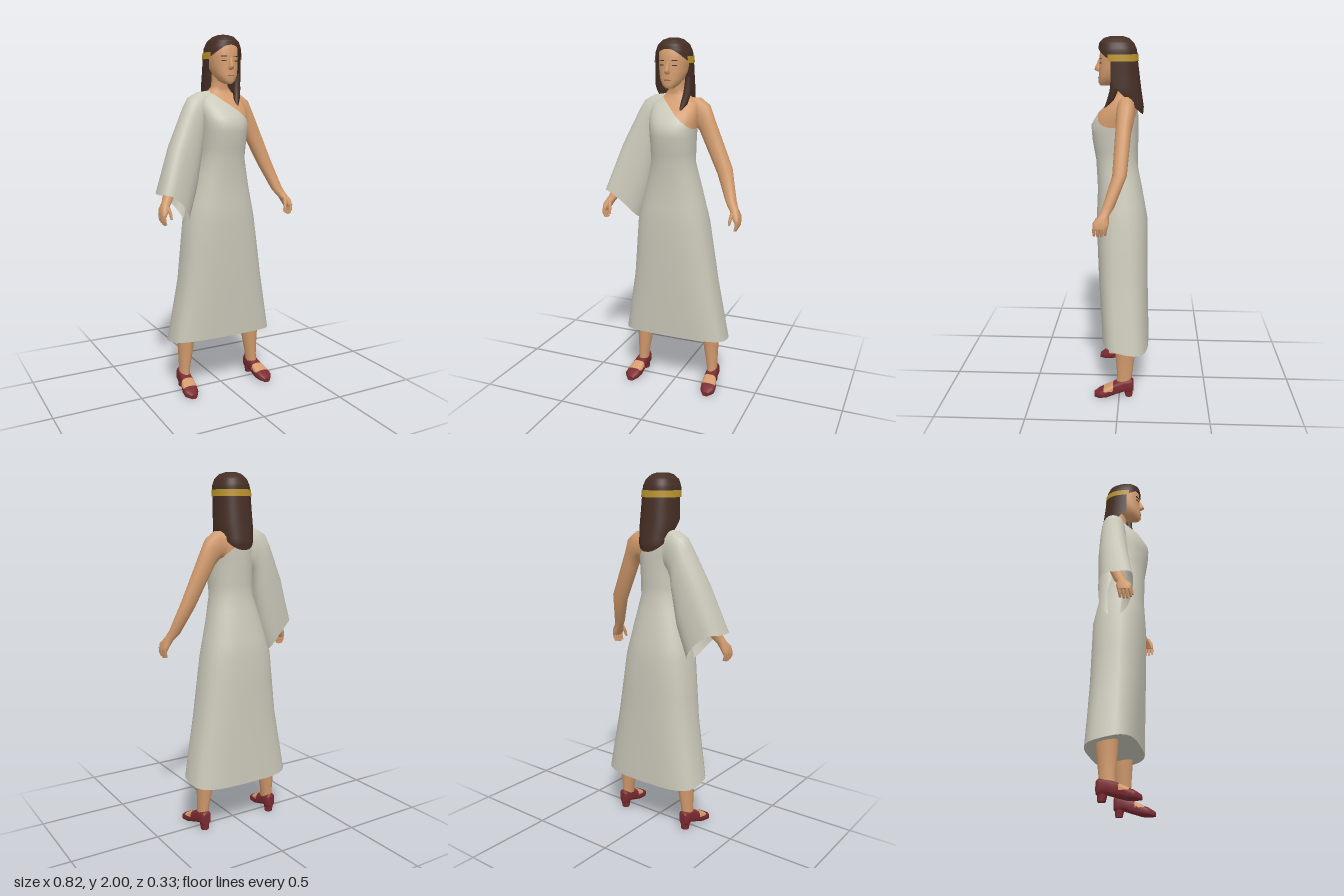
import * as THREE from 'three';

const V = (x, y, z) => new THREE.Vector3(x, y, z);
const mat = (name, color) => {
  const m = new THREE.MeshStandardMaterial({ color, side: THREE.DoubleSide });
  m.name = name;
  return m;
};

// Horizontal ring between x limits and z limits; e < 1 is boxier, tilt raises the front
const flat = (y, xl, xr, zb, zf, e = 0.85, tilt = 0) => ({
  c: V((xl + xr) / 2, y, (zb + zf) / 2), u: V((xr - xl) / 2, 0, 0),
  v: V(0, tilt, (zf - zb) / 2), e, bow: 0,
});
const level = (y, w, zb, zf, e) => flat(y, -w, w, zb, zf, e);
// Limb ring between an outer and an inner point, d deep in z
const limb = (t, b, d, e = 0.9, bow = 0) => {
  const T = V(...t), B = V(...b);
  return { c: T.clone().add(B).multiplyScalar(0.5), u: T.clone().sub(B).multiplyScalar(0.5), v: V(0, 0, d), e, bow };
};
// Upright ring across the foot
const footRing = (z, x, w, y0, y1, e = 0.65) => ({
  c: V(x, (y0 + y1) / 2, z), u: V(w, 0, 0), v: V(0, (y1 - y0) / 2, 0), e, bow: 0,
});

// Skin a row of rings, with optional end caps
function loft(rings, n = 20, capA = true, capB = true) {
  const pos = [], idx = [];
  const pw = (a, e) => Math.sign(a) * Math.abs(a) ** e;
  const addRing = (r) => {
    for (let i = 0; i < n; i++) {
      const t = (i / n) * Math.PI * 2, s = Math.sin(t);
      const p = r.c.clone().addScaledVector(r.u, pw(s, r.e)).addScaledVector(r.v, pw(Math.cos(t), r.e));
      pos.push(p.x, p.y + r.bow * (1 - s * s), p.z);
    }
  };
  rings.forEach(addRing);
  for (let k = 0; k < rings.length - 1; k++) for (let i = 0; i < n; i++) {
    const a = k * n + i, b = k * n + (i + 1) % n;
    idx.push(a, b, a + n, b, b + n, a + n);
  }
  const cap = (r, last) => {
    const s = pos.length / 3;
    addRing(r);
    pos.push(r.c.x, r.c.y, r.c.z);
    for (let i = 0; i < n; i++) {
      const a = s + i, b = s + (i + 1) % n;
      if (last) idx.push(a, b, s + n); else idx.push(b, a, s + n);
    }
  };
  if (capA) cap(rings[0], false);
  if (capB) cap(rings[rings.length - 1], true);
  // Turn the faces outwards
  let vol = 0;
  const P = (i) => V(pos[3 * i], pos[3 * i + 1], pos[3 * i + 2]).sub(rings[0].c);
  for (let i = 0; i < idx.length; i += 3) vol += P(idx[i]).dot(P(idx[i + 1]).cross(P(idx[i + 2])));
  if (vol < 0) idx.reverse();
  const g = new THREE.BufferGeometry();
  g.setAttribute('position', new THREE.Float32BufferAttribute(pos, 3));
  g.setIndex(idx);
  g.computeVertexNormals();
  return g;
}

// Keep the part of a geometry where sign * f(p) > 0
function clip(geo, f, sign = 1) {
  const g = geo.toNonIndexed(), p = g.attributes.position, q = g.attributes.normal;
  const pos = [], nor = [];
  for (let i = 0; i < p.count; i += 3) {
    const tri = [0, 1, 2].map((k) => {
      const a = V().fromBufferAttribute(p, i + k);
      return { a, n: V().fromBufferAttribute(q, i + k), d: sign * f(a) };
    });
    const poly = [];
    tri.forEach((A, k) => {
      const B = tri[(k + 1) % 3];
      if (A.d > 0) poly.push(A);
      if ((A.d > 0) !== (B.d > 0)) {
        const t = A.d / (A.d - B.d);
        poly.push({ a: A.a.clone().lerp(B.a, t), n: A.n.clone().lerp(B.n, t).normalize() });
      }
    });
    for (let k = 1; k + 1 < poly.length; k++) for (const w of [poly[0], poly[k], poly[k + 1]]) {
      pos.push(...w.a.toArray());
      nor.push(...w.n.toArray());
    }
  }
  const out = new THREE.BufferGeometry();
  out.setAttribute('position', new THREE.Float32BufferAttribute(pos, 3));
  out.setAttribute('normal', new THREE.Float32BufferAttribute(nor, 3));
  return out;
}

// Insert in-between rings so that clipped edges stay clean
function refine(rings, k) {
  const out = [];
  rings.forEach((r, i) => {
    const s = rings[i + 1];
    for (let j = 0; j < (s ? k : 1); j++) {
      const t = j / k, o = s || r;
      out.push({ c: r.c.clone().lerp(o.c, t), u: r.u.clone().lerp(o.u, t), v: r.v.clone().lerp(o.v, t),
        e: r.e + (o.e - r.e) * t, bow: 0 });
    }
  });
  return out;
}

export function createModel() {
  const root = new THREE.Group();
  root.name = 'woman';
  const cloth = mat('cloth', 0xcac8b9), skin = mat('skin', 0xd29b6d), hairMat = mat('hair', 0x452e25);
  const red = mat('shoe red', 0x7a2a30), gold = mat('gold', 0xb8922c), lip = mat('lips', 0xa0654a);
  const add = (name, geo, m, parent = root) => {
    const mesh = new THREE.Mesh(geo, m);
    mesh.name = name;
    parent.add(mesh);
    return mesh;
  };

  // Body, divided along the slanted neckline into dress and bare skin
  const body = loft(refine([
    flat(0.295, -0.31, 0.31, -0.165, 0.105, 0.62, 0.025),
    flat(0.65, -0.25, 0.247, -0.155, 0.125, 0.72, 0.01),
    flat(1.0, -0.218, 0.195, -0.15, 0.138, 0.8),
    flat(1.18, -0.17, 0.155, -0.118, 0.13, 0.85),
    flat(1.34, -0.125, 0.12, -0.086, 0.138, 0.9),
    level(1.45, 0.125, -0.088, 0.157, 0.9),
    level(1.53, 0.13, -0.09, 0.163, 0.9),
    level(1.6, 0.136, -0.09, 0.122, 0.85),
    level(1.66, 0.13, -0.085, 0.06, 0.85),
    level(1.70, 0.07, -0.07, 0.03, 0.9),
    level(1.73, 0.046, -0.06, 0.03, 1),
    level(1.80, 0.045, -0.05, 0.035, 1),
  ], 2), 28);
  const neckline = (p) => Math.min(1.7, 1.638 - 0.84 * p.x) - p.y;
  add('dress', clip(body, neckline), cloth);
  add('neck and shoulder', clip(body, neckline, -1), skin);

  // Wide draped sleeve on the right arm
  add('sleeve', loft([
    limb([-0.04, 1.71, -0.02], [-0.05, 1.5, -0.02], 0.05),
    limb([-0.13, 1.7, -0.02], [-0.09, 1.48, -0.02], 0.066),
    limb([-0.185, 1.67, -0.02], [-0.11, 1.43, -0.02], 0.072),
    limb([-0.215, 1.62, -0.015], [-0.12, 1.35, -0.02], 0.076),
    limb([-0.31, 1.42, 0.01], [-0.15, 1.18, -0.015], 0.086, 0.85, 0.02),
    limb([-0.4, 1.16, 0.05], [-0.212, 1.0, 0.0], 0.095, 0.75, 0.045),
  ], 24, true, false), cloth);

  // Arms and hands; the right one starts under the sleeve
  const armRings = [
    limb([0.06, 1.69, -0.03], [0.06, 1.54, -0.03], 0.045),
    limb([0.13, 1.69, -0.03], [0.11, 1.54, -0.03], 0.05),
    limb([0.185, 1.65, -0.03], [0.135, 1.51, -0.025], 0.048),
    limb([0.215, 1.58, -0.022], [0.155, 1.47, -0.02], 0.042),
    limb([0.325, 1.32, -0.01], [0.248, 1.285, 0], 0.038),
    limb([0.37, 1.16, 0.05], [0.315, 1.14, 0.05], 0.031),
    limb([0.388, 1.12, 0.07], [0.345, 1.1, 0.072], 0.026),
    limb([0.406, 1.085, 0.085], [0.364, 1.075, 0.085], 0.042, 0.75),
    limb([0.408, 1.05, 0.09], [0.382, 1.045, 0.09], 0.038, 0.7),
  ];
  for (const [side, s, from] of [['left', 1, 0], ['right', -1, 4]]) {
    const limbs = new THREE.Group();
    limbs.name = side + ' limbs';
    limbs.scale.x = s;
    root.add(limbs);
    add('arm', loft(armRings.slice(from), 14), skin, limbs);
    for (let i = 0; i < 4; i++) {
      const z = 0.062 + i * 0.019, y = 1.0 + Math.abs(i - 1.7) * 0.006;
      add('finger', loft([
        limb([0.407, 1.06, z], [0.386, 1.06, z], 0.0095),
        limb([0.404, 1.03, z + 0.002], [0.385, 1.03, z + 0.002], 0.009),
        limb([0.392, y, z + 0.003], [0.38, y, z + 0.003], 0.006),
      ], 8), skin, limbs);
    }
    add('thumb', loft([
      limb([0.378, 1.1, 0.1], [0.355, 1.1, 0.1], 0.012),
      limb([0.37, 1.07, 0.118], [0.35, 1.065, 0.118], 0.011),
      limb([0.362, 1.035, 0.126], [0.35, 1.035, 0.126], 0.006),
    ], 8), skin, limbs);

    // Leg, and a foot divided into strapped shoe and bare instep
    add('leg', loft([
      flat(0.36, 0.153, 0.268, -0.1, 0.028, 1), flat(0.25, 0.168, 0.256, -0.088, 0.022, 1),
      flat(0.13, 0.19, 0.252, -0.073, 0.012, 1), flat(0.05, 0.197, 0.253, -0.068, 0.02, 1),
    ], 14), skin, limbs);
    const foot = loft(refine([
      footRing(-0.082, 0.225, 0.02, 0.035, 0.1), footRing(-0.07, 0.225, 0.031, 0.028, 0.112),
      footRing(-0.03, 0.226, 0.034, 0.032, 0.107), footRing(0.02, 0.23, 0.036, 0.016, 0.09),
      footRing(0.07, 0.237, 0.044, 0.002, 0.065), footRing(0.11, 0.242, 0.042, 0, 0.046),
      footRing(0.142, 0.24, 0.018, 0, 0.026),
    ], 3), 20);
    const instep = (p) => Math.min(p.y - 0.045, 0.088 - p.z, p.z - 0.034);
    add('shoe', clip(foot, instep, -1), red, limbs);
    add('instep', clip(foot, instep), skin, limbs);
    add('shoe heel', loft([
      flat(0, 0.203, 0.247, -0.075, -0.035), flat(0.05, 0.198, 0.252, -0.078, -0.022),
    ], 12), red, limbs);

    // Closed eye and brow
    const eye = add('eye', new THREE.BoxGeometry(0.026, 0.005, 0.006), hairMat, limbs);
    eye.position.set(0.036, 1.862, 0.108);
    const brow = add('eyebrow', new THREE.BoxGeometry(0.032, 0.004, 0.006), hairMat, limbs);
    brow.position.set(0.036, 1.886, 0.108);
    eye.rotation.y = brow.rotation.y = 0.3;
  }

  // Head, nose and mouth
  add('head', loft([
    level(1.742, 0.018, 0.06, 0.112), level(1.758, 0.04, 0.02, 0.122), level(1.79, 0.061, -0.02, 0.12),
    level(1.83, 0.071, -0.06, 0.118), level(1.88, 0.076, -0.075, 0.115), level(1.93, 0.074, -0.07, 0.113),
    level(1.965, 0.055, -0.055, 0.09),
  ], 24), skin);
  add('nose', loft([
    level(1.882, 0.006, 0.1, 0.119, 1), level(1.838, 0.011, 0.1, 0.14, 1),
    level(1.824, 0.016, 0.1, 0.143, 1), level(1.815, 0.01, 0.1, 0.122, 1),
  ], 10), skin);
  add('mouth', new THREE.BoxGeometry(0.034, 0.007, 0.008), lip).position.set(0, 1.785, 0.118);

  // Long hair, cut open around the face and slanting down to the back
  const hair = loft(refine([
    level(2.0, 0.025, -0.01, 0.055), level(1.99, 0.052, -0.042, 0.092), level(1.965, 0.08, -0.07, 0.116),
    level(1.93, 0.094, -0.085, 0.123), level(1.88, 0.099, -0.09, 0.123), level(1.8, 0.101, -0.1, 0.123),
    level(1.72, 0.104, -0.11, 0.12), level(1.63, 0.094, -0.124, 0.1), level(1.585, 0.08, -0.12, 0.08),
  ], 4), 40, true, false);
  add('hair', clip(hair, (p) => Math.max(
    p.y - (1.945 - 7 * p.x * p.x), 0.05 - Math.max(0, 1.76 - p.y) - p.z)), hairMat);
  add('hair lock', loft([
    limb([0.1, 1.8, 0.03], [0.07, 1.8, 0.03], 0.02), limb([0.102, 1.72, 0.035], [0.06, 1.72, 0.035], 0.022),
    limb([0.088, 1.66, 0.055], [0.052, 1.66, 0.06], 0.018), limb([0.062, 1.62, 0.085], [0.052, 1.62, 0.085], 0.006),
  ], 10), hairMat);
  add('headband', clip(loft([
    level(1.872, 0.103, -0.095, 0.125), level(1.908, 0.1, -0.092, 0.125),
  ], 40, false, false), (p) => 0.066 - p.z), gold);

  return root;
}
